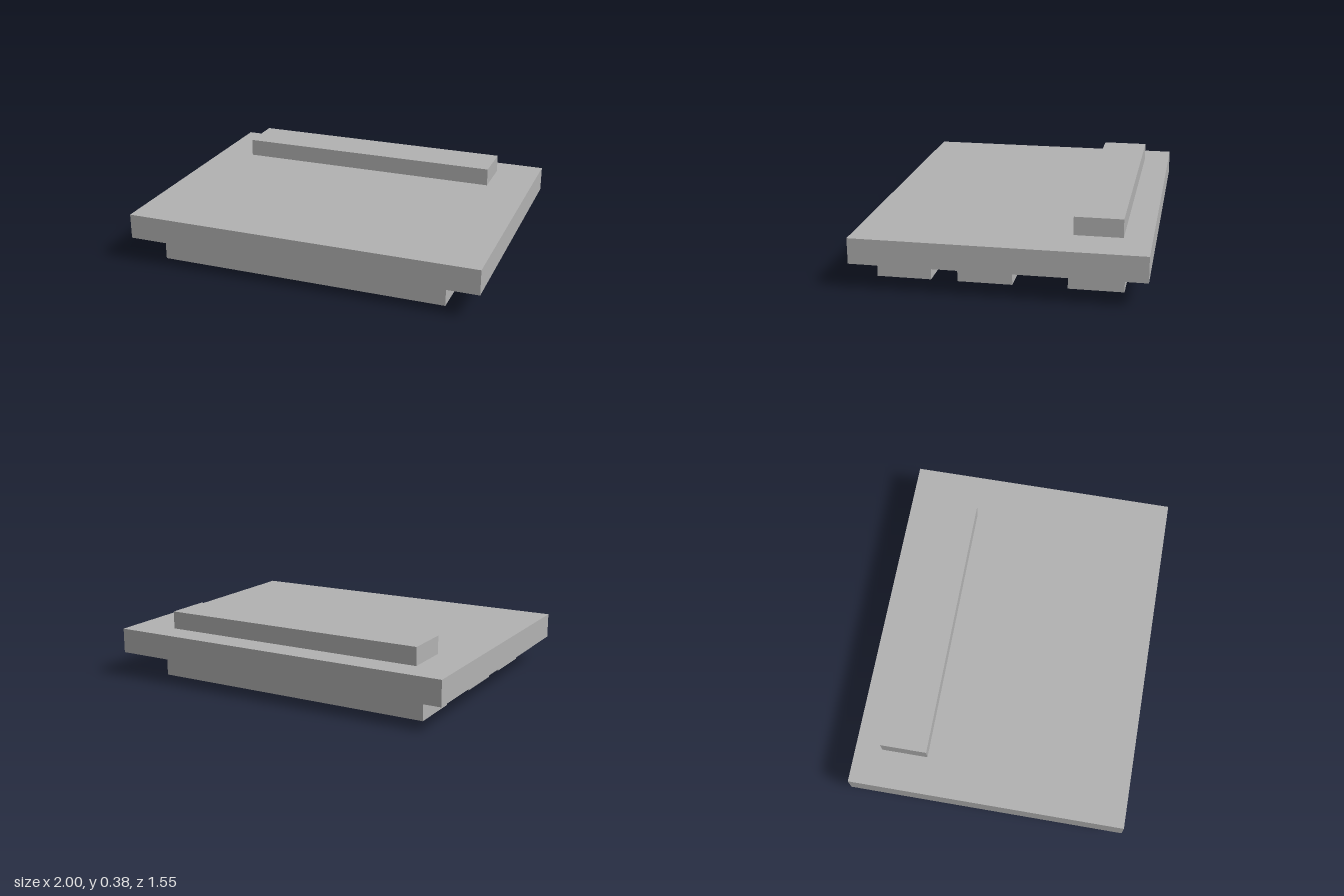
import * as THREE from 'three';

export function createModel() {
  const group = new THREE.Group();
  const grey = new THREE.MeshStandardMaterial({ color: 0xb2b2b2 });
  grey.name = 'plain grey';

  // Box given by its extents along each axis
  const addBlock = (name, [x0, x1], [y0, y1], [z0, z1]) => {
    const mesh = new THREE.Mesh(new THREE.BoxGeometry(x1 - x0, y1 - y0, z1 - z0), grey);
    mesh.position.set((x0 + x1) / 2, (y0 + y1) / 2, (z0 + z1) / 2);
    mesh.name = name;
    group.add(mesh);
  };

  // Main board
  addBlock('slab', [-1, 1], [0.14, 0.28], [-0.775, 0.775]);

  // Bar on top, near the back edge
  addBlock('topBar', [-0.79, 0.75], [0.28, 0.38], [-0.625, -0.365]);

  // Three equal runners underneath, unevenly spaced
  const runners = { frontRunner: 0.537, middleRunner: 0.097, backRunner: -0.493 };
  for (const [name, z] of Object.entries(runners)) {
    addBlock(name, [-0.84, 0.8], [0, 0.14], [z - 0.148, z + 0.148]);
  }

  return group;
}
